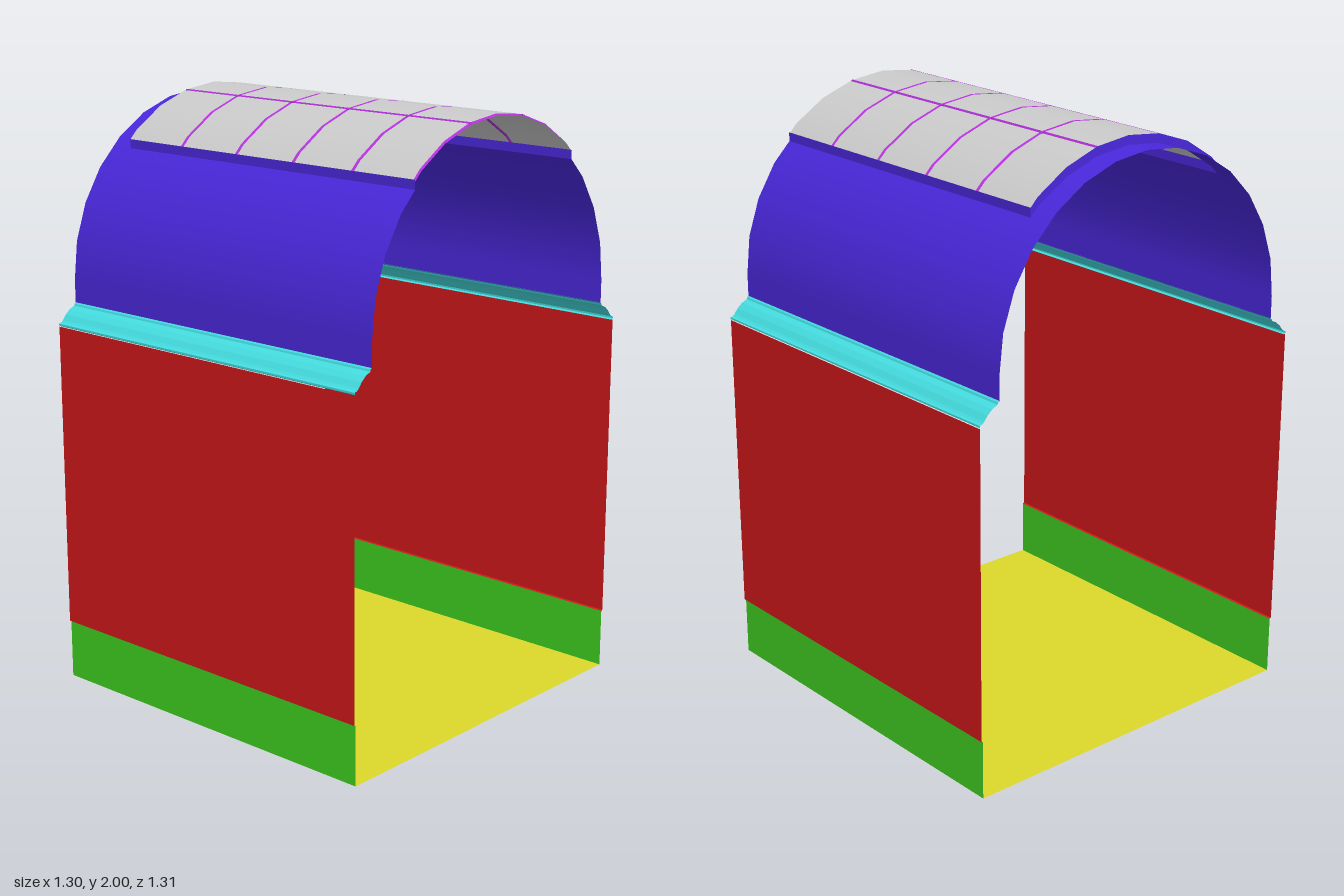
import * as THREE from 'three';

const X0 = -0.6525, X1 = 0.6525;      // length of the corridor
const R = 0.58, CY = 1.39;            // vault radius and centre height
const SEG = 14;                       // vault facets
const SKY_X = -0.57, SKY_Z = 0.39;    // skylight opening
const LIFT = 0.03, GROOVE = 0.006;    // skylight height and half mullion width

const mat = (color) => new THREE.MeshStandardMaterial({ color, side: THREE.DoubleSide });

// Height of the faceted vault at a given z
function vaultY(z) {
  const step = Math.PI / SEG, a = Math.asin(Math.min(1, Math.abs(z) / R));
  const k = Math.min(SEG / 2 - 1, Math.floor(a / step + 1e-6));
  const z0 = R * Math.sin(k * step), z1 = R * Math.sin((k + 1) * step);
  const y0 = R * Math.cos(k * step), y1 = R * Math.cos((k + 1) * step);
  return CY + y0 + (y1 - y0) * (Math.abs(z) - z0) / (z1 - z0);
}

// Points [z, y] along the vault from za down to zb, including the facet corners between
function arc(za, zb, lift = 0) {
  const zs = [za];
  for (let i = 0; i <= SEG; i++) {
    const z = R * Math.cos(i * Math.PI / SEG);
    if (z < za - 1e-4 && z > zb + 1e-4) zs.push(z);
  }
  zs.push(zb);
  return zs.map((z) => [z, vaultY(z) + lift]);
}

// Ruled strip between two [z, y] profiles at xa and xb; optional round normals about a centre height
function strip(xa, pa, xb, pb, centreY) {
  const pos = [], nor = [], idx = [];
  pa.forEach(([z, y], i) => {
    pos.push(xa, y, z, xb, pb[i][1], pb[i][0]);
    if (centreY !== undefined) {
      const n = new THREE.Vector3(0, Math.max(0, y - centreY), z).normalize();
      nor.push(0, n.y, n.z, 0, n.y, n.z);
    }
    if (i) {
      const a = 2 * i - 2;
      idx.push(a, a + 1, a + 3, a, a + 3, a + 2);
    }
  });
  const g = new THREE.BufferGeometry();
  g.setAttribute('position', new THREE.Float32BufferAttribute(pos, 3));
  g.setIndex(idx);
  if (centreY !== undefined) {
    g.setAttribute('normal', new THREE.Float32BufferAttribute(nor, 3));
    return g;
  }
  const flat = g.toNonIndexed();   // crisp folds
  flat.computeVertexNormals();
  return flat;
}

const sweep = (profile, xa = X0, xb = X1, centreY) => strip(xa, profile, xb, profile, centreY);
const mirrored = (profile) => profile.map(([z, y]) => [-z, y]).reverse();

export function createModel() {
  const model = new THREE.Group();
  const red = mat(0xd0181a), green = mat(0x3fcf20), yellow = mat(0xdcd82a);
  const cyan = mat(0x45dde0), blue = mat(0x4a28dd), purple = mat(0xb030d8), grey = mat(0xcccccc);
  const add = (name, geometry, material, parent = model) => {
    const m = new THREE.Mesh(geometry, material);
    m.name = name;
    parent.add(m);
  };

  // Floor
  add('floor', sweep([[0.648, 0], [-0.648, 0]]), yellow);

  // Both sides: base board, wall with a small ledge, cornice, lower vault
  const sidePart = (name, profile, material, xa, xb, cy) => {
    add(name + 'Front', sweep(profile, xa, xb, cy), material);
    add(name + 'Back', sweep(mirrored(profile), xa, xb, cy), material);
  };
  sidePart('baseBoard', [[0.648, 0], [0.648, 0.2]], green);
  sidePart('wall', [[0.648, 0.2], [0.654, 0.203], [0.654, 1.243]], red);
  sidePart('cornice', [[0.648, 1.243], [0.655, 1.247], [0.655, 1.253], [0.645, 1.256], [0.638, 1.262],
    [0.625, 1.279], [0.607, 1.294], [0.587, 1.303], [0.585, 1.309], [0.578, 1.315]], cyan);

  // Vault: a full arch at one end, and the sides of the skylight opening
  add('vaultEnd', sweep([[R, 1.312], ...arc(R, -R), [-R, 1.312]], X0, SKY_X, CY), blue);
  sidePart('vaultSide', [[R, 1.312], ...arc(R, SKY_Z)], blue, SKY_X, X1, CY);

  // Skylight kerb: side risers and the arched end
  const skylight = new THREE.Group();
  skylight.name = 'skylight';
  model.add(skylight);
  const edge = vaultY(SKY_Z);
  const riser = [[SKY_Z, edge], [SKY_Z, edge + LIFT]];
  add('kerbFront', sweep(riser, SKY_X, X1), blue, skylight);
  add('kerbBack', sweep(mirrored(riser), SKY_X, X1), blue, skylight);
  const outline = [...arc(SKY_Z, -SKY_Z), ...arc(SKY_Z, -SKY_Z, LIFT).reverse()];
  const end = new THREE.ShapeGeometry(new THREE.Shape(outline.map(([z, y]) => new THREE.Vector2(z, y))));
  add('kerbEnd', end.rotateY(-Math.PI / 2).translate(SKY_X, 0, 0), blue, skylight);

  // Panes in a 5 by 3 grid
  const cols = 5, rows = 3;
  const dx = (X1 - SKY_X) / cols, dz = 2 * SKY_Z / rows;
  for (let c = 0; c < cols; c++) {
    for (let r = 0; r < rows; r++) {
      const za = SKY_Z - r * dz - (r ? GROOVE : 0);
      const zb = SKY_Z - (r + 1) * dz + (r < rows - 1 ? GROOVE : 0);
      const xa = SKY_X + c * dx + (c ? GROOVE : 0), xb = SKY_X + (c + 1) * dx - GROOVE;
      add('pane', sweep(arc(za, zb, LIFT), xa, xb, CY + LIFT), grey, skylight);
    }
  }

  // Grooved mullions across the arch, with a half one at the open end
  const top = arc(SKY_Z, -SKY_Z, LIFT), low = arc(SKY_Z, -SKY_Z, LIFT - GROOVE);
  for (let c = 1; c <= cols; c++) {
    const x = SKY_X + c * dx;
    add('archMullion', strip(x - GROOVE, top, x, low), purple, skylight);
    if (c < cols) add('archMullion', strip(x, low, x + GROOVE, top), purple, skylight);
  }

  // Grooved mullions along the length
  for (const z of [-dz / 2, dz / 2]) {
    const groove = [z + GROOVE, z, z - GROOVE].map((v, i) => [v, vaultY(v) + LIFT - (i === 1 ? GROOVE : 0)]);
    add('longMullion', sweep(groove, SKY_X, X1), purple, skylight);
  }
  return model;
}
